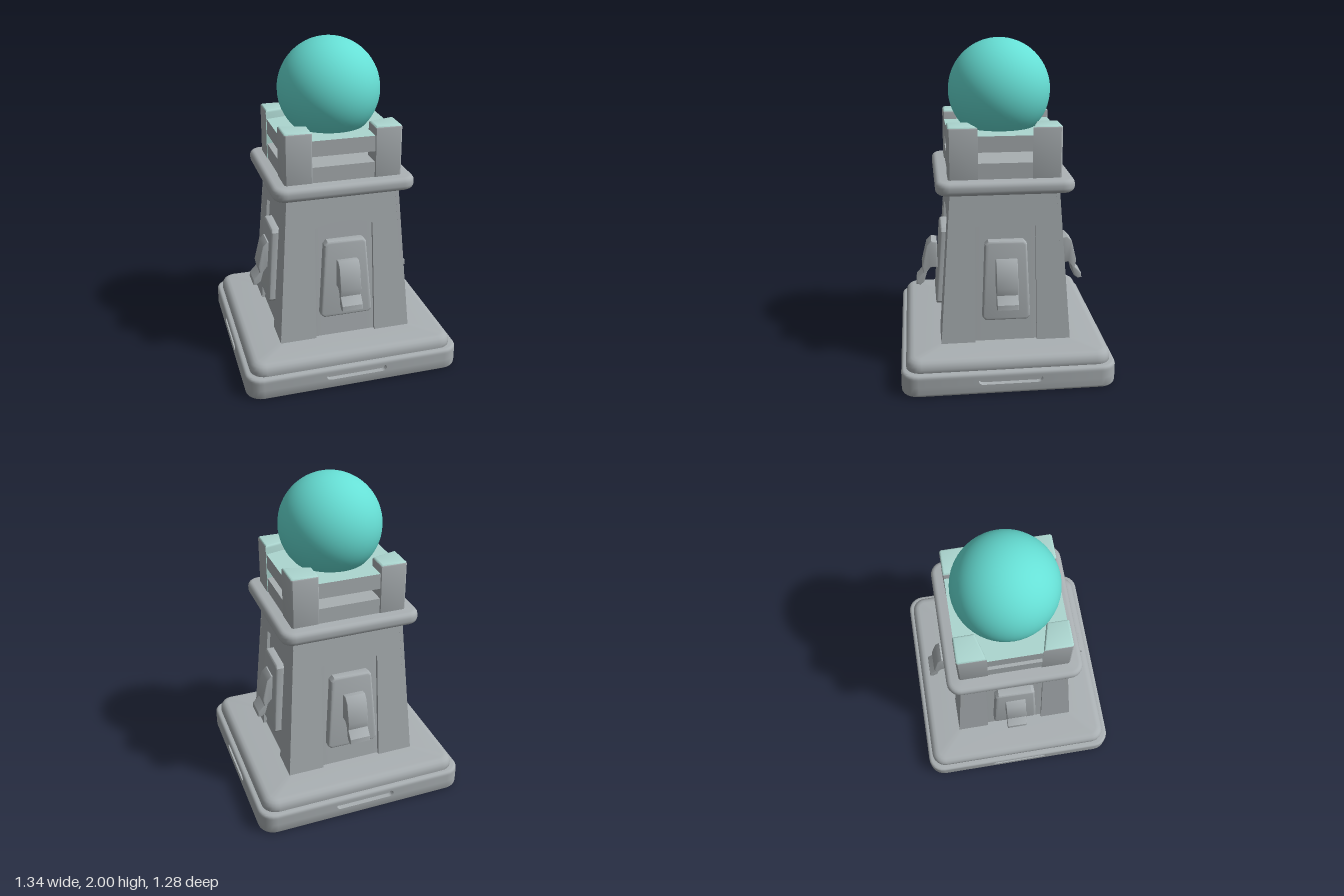
import * as THREE from 'three';
import { toCreasedNormals } from 'three/addons/utils/BufferGeometryUtils.js';

const mat = (name, color) => new THREE.MeshStandardMaterial({ name, color });

// Rounded rectangle loop at height y; d and nw cut a notch in the middle of every side
function ring(y, hx, hz, r, d = 0, nw = 0.15) {
  const pts = [];
  for (let k = 0; k < 4; k++) {
    const a = k * Math.PI / 2, c = Math.round(Math.cos(a)), s = Math.round(Math.sin(a));
    const h = k % 2 ? hz : hx;
    for (const [t, dd] of [[-nw, 0], [-nw, d], [nw, d], [nw, 0]])
      pts.push([c * (h - dd) - s * t, y, -(s * (h - dd) + c * t)]);
    const cx = (hx - r) * (k === 0 || k === 3 ? 1 : -1), cp = (hz - r) * (k < 2 ? 1 : -1);
    for (let i = 0; i <= 6; i++) {
      const b = a + i / 6 * Math.PI / 2;
      pts.push([cx + r * Math.cos(b), y, -(cp + r * Math.sin(b))]);
    }
  }
  return pts;
}

// Skin a stack of loops and close both ends
function loft(rings) {
  const n = rings[0].length, m = rings.length, pos = rings.flat(2), idx = [];
  pos.push(0, rings[0][0][1], 0, 0, rings[m - 1][0][1], 0);
  for (let i = 0; i < n; i++) {
    const j = (i + 1) % n;
    for (let k = 0; k < m - 1; k++) {
      const a = k * n + i, b = k * n + j;
      idx.push(a, b, b + n, a, b + n, a + n);
    }
    idx.push(n * m, j, i, n * m + 1, (m - 1) * n + i, (m - 1) * n + j);
  }
  const g = new THREE.BufferGeometry();
  g.setAttribute('position', new THREE.Float32BufferAttribute(pos, 3));
  g.setIndex(idx);
  return toCreasedNormals(g, 0.7);
}

// Slab with rounded top and bottom edges; extra loops go in the middle
function slab(y0, y1, hx, hz, r, eb, et, middle = []) {
  const rings = [];
  for (let i = 0; i <= 4; i++) {
    const a = i / 4 * Math.PI / 2, q = eb * (1 - Math.sin(a));
    rings.push(ring(y0 + eb * (1 - Math.cos(a)), hx - q, hz - q, r - q));
  }
  rings.push(...middle);
  for (let i = 0; i <= 4; i++) {
    const a = i / 4 * Math.PI / 2, q = et * (1 - Math.cos(a));
    rings.push(ring(y1 - et * (1 - Math.sin(a)), hx - q, hz - q, r - q));
  }
  return loft(rings);
}

const poly = pts => new THREE.Shape(pts.map(p => new THREE.Vector2(...p)));
const extrude = (shape, depth, bevel) => new THREE.ExtrudeGeometry(shape, {
  depth, bevelEnabled: bevel > 0, bevelSize: bevel, bevelThickness: bevel,
  bevelOffset: -bevel, bevelSegments: 3, curveSegments: 16,
});

// Tower half widths narrow with height
const taper = (base, y) => base - 0.07 * (y - 0.21) / 0.93;

// Shear a geometry so that it lies on the sloping wall
function lean(g, base) {
  const p = g.attributes.position;
  for (let i = 0; i < p.count; i++) p.setZ(i, p.getZ(i) + taper(base, p.getY(i)));
  g.computeVertexNormals();
  return toCreasedNormals(g, 0.6);
}

// Split triangles into two material groups by a rule on centre and normal
function paint(geo, rule) {
  const g = geo.index ? geo.toNonIndexed() : geo, p = g.attributes.position;
  const t = new THREE.Triangle(), c = new THREE.Vector3(), n = new THREE.Vector3();
  g.clearGroups();
  for (let i = 0; i < p.count; i += 3) {
    t.setFromAttributeAndIndices(p, i, i + 1, i + 2);
    t.getMidpoint(c);
    t.getNormal(n);
    g.addGroup(i, 3, rule(c, n) ? 1 : 0);
  }
  return g;
}

export function createModel() {
  const stone = mat('stone grey', 0xa9afb2);
  const pale = mat('pale teal', 0xacd6d0);
  const teal = mat('teal', 0x66dfd5);
  const model = new THREE.Group();
  const add = (name, geo, material, parent = model) => {
    const mesh = new THREE.Mesh(geo, material);
    mesh.name = name;
    parent.add(mesh);
    return mesh;
  };

  // Base plate with a rounded slot in every side
  const slot = [];
  for (let i = 0; i <= 8; i++) {
    const a = (i / 8 - 0.5) * Math.PI;
    const y = 0.0875 + 0.0225 * Math.sin(a), w = 0.16 + 0.03 * Math.cos(a);
    if (i === 0) slot.push(ring(y, 0.67, 0.64, 0.1, 0, w));
    slot.push(ring(y, 0.67, 0.64, 0.1, 0.03, w));
    if (i === 8) slot.push(ring(y, 0.67, 0.64, 0.1, 0, w));
  }
  add('basePlate', slab(0, 0.14, 0.67, 0.64, 0.1, 0.02, 0.02, slot), stone);
  add('baseStep', slab(0.13, 0.21, 0.635, 0.61, 0.09, 0.005, 0.05), stone);

  // Tower core and collar
  add('towerCore', loft([ring(0.2, 0.395, 0.375, 0.01), ring(1.15, 0.325, 0.305, 0.01)]), stone);
  add('collar', slab(1.14, 1.22, 0.432, 0.41, 0.08, 0.03, 0.03), stone);

  // Four walls, each with an arched recess, a plaque and a hooked clip
  for (let k = 0; k < 4; k++) {
    const front = k % 2 === 0, w = front ? 0.415 : 0.395, base = front ? 0.395 : 0.415;
    const side = new THREE.Group();
    side.name = ['front', 'left', 'back', 'right'][k] + 'Wall';
    side.rotation.y = k * Math.PI / 2;
    model.add(side);

    const wall = new THREE.Shape();
    wall.moveTo(-w, 0.2);
    wall.lineTo(-0.19, 0.2);
    wall.lineTo(-0.18, 0.93);
    wall.quadraticCurveTo(0, 0.99, 0.18, 0.93);
    wall.lineTo(0.19, 0.2);
    wall.lineTo(w, 0.2);
    wall.lineTo(w - 0.07, 1.15);
    wall.lineTo(0.07 - w, 1.15);
    add('wallPanel', lean(extrude(wall, 0.022, 0).translate(0, 0, -0.022), base), stone, side);

    const pb = front ? 0.163 : 0.145, pt = front ? 0.13 : 0.125;
    const plaque = poly([[-pb, 0.38], [-pb + 0.02, 0.36], [pb - 0.02, 0.36], [pb, 0.38],
      [pt, 0.83], [pt - 0.02, 0.85], [0.02 - pt, 0.85], [-pt, 0.83]]);
    add('plaque', lean(extrude(plaque, 0.039, 0.013).translate(0, 0, -0.02), base), stone, side);

    const o = front ? 0.02 : 0;
    const hook = poly([[0.38, 0.74], [0.415, 0.745], [0.445, 0.715], [0.478, 0.58], [0.47, 0.535],
      [0.512, 0.49], [0.515, 0.46], [0.49, 0.455], [0.465, 0.475], [0.447, 0.54], [0.425, 0.57], [0.38, 0.57]]);
    const clip = extrude(hook, 0.12, 0.005).translate(o, 0, -0.06).rotateY(-Math.PI / 2);
    add('clip', toCreasedNormals(clip, 0.6), stone, side);
  }

  // Parapet: floor, open gap, and a roof with a pale top
  add('parapetFloor', new THREE.BoxGeometry(0.7, 0.11, 0.66).translate(0, 1.26, 0), stone);
  add('parapetRoof', new THREE.BoxGeometry(0.7, 0.095, 0.66).translate(0, 1.4275, 0),
    [stone, stone, pale, stone, stone, stone]);

  // Corner posts with pale tops and inner faces
  for (const sx of [-1, 1]) for (const sz of [-1, 1]) {
    const plan = poly([[0.195, 0.335], [0.345, 0.335], [0.355, 0.325], [0.355, 0.16], [0.19, 0.205], [0.19, 0.33]]
      .map(([x, z]) => [x * sx, -z * sz]));
    const post = extrude(plan, 0.3, 0.015).rotateX(-Math.PI / 2).translate(0, 1.215, 0);
    const inner = (c, n) => c.y > 1.3 && (n.y > 0.6 || (n.z * sz < -0.7 && n.y > -0.1));
    add('cornerPost', paint(toCreasedNormals(post, 0.6), inner), [stone, pale]);
  }

  // Globe
  add('globe', new THREE.SphereGeometry(0.31, 48, 32).translate(0, 1.69, 0), teal);
  return model;
}
